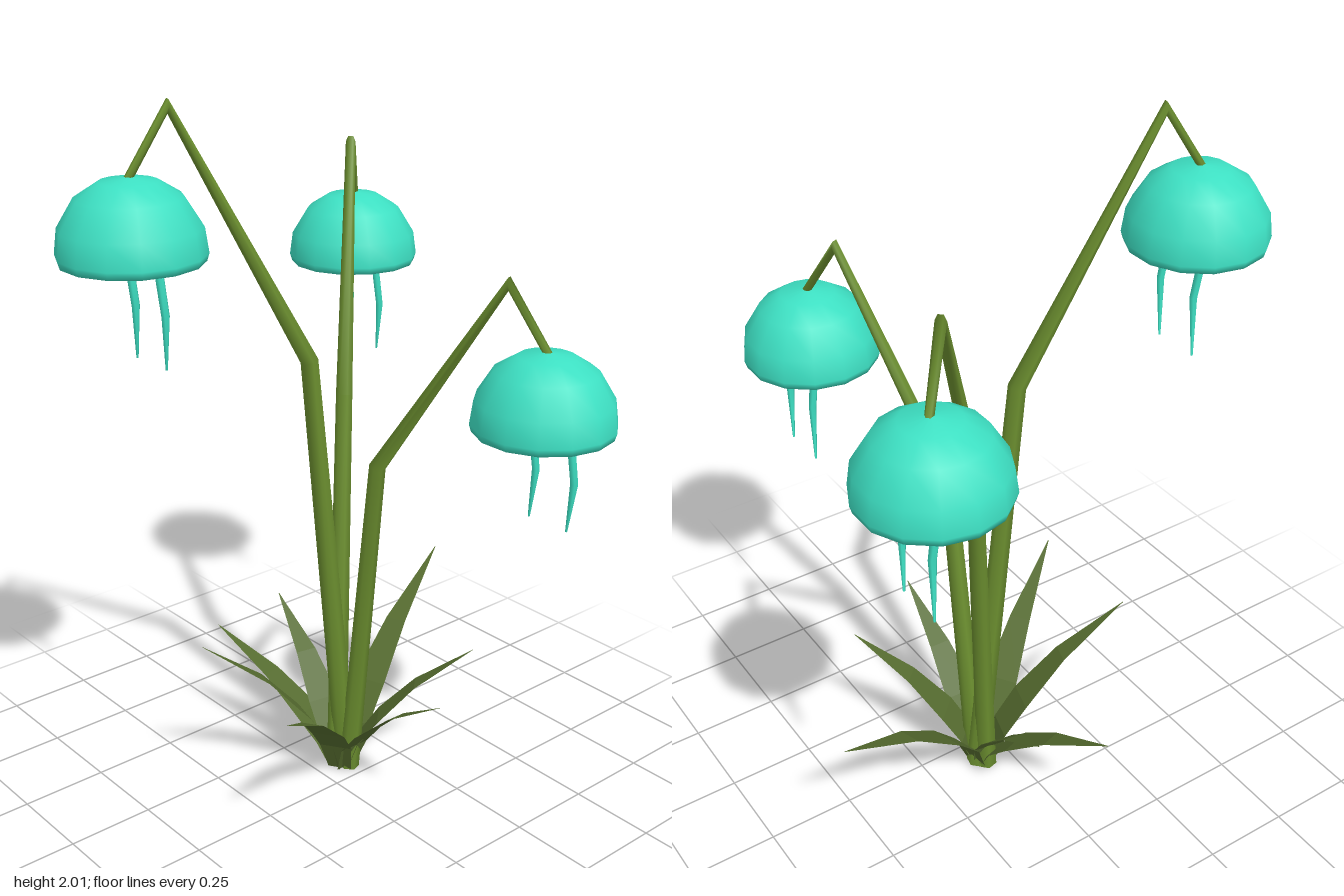
import * as THREE from 'three';

const material = (name, color, side = THREE.FrontSide) => {
  const m = new THREE.MeshStandardMaterial({ color, side });
  m.name = name;
  return m;
};

const V = (p) => new THREE.Vector3(...p);

// Tapered tube with mitred bends through a few points, each [x, y, z, radius]
function bentTube(points, sides) {
  const pts = points.map(V);
  const n = pts.length;
  const dirs = pts.slice(1).map((p, i) => p.clone().sub(pts[i]).normalize());
  const u = dirs[0].clone().cross(dirs[n - 2]).normalize();
  const pos = [];
  const index = [];
  pts.forEach((p, i) => {
    const d = dirs[Math.min(i, n - 2)];
    const t = d.clone().add(dirs[Math.max(i - 1, 0)]).normalize();
    const v = t.clone().cross(u).normalize();
    const r = points[i][3];
    const stretch = Math.min(1 / t.dot(d), 1.3);
    for (let j = 0; j < sides; j++) {
      const a = (j / sides) * Math.PI * 2;
      const q = p.clone().addScaledVector(u, r * Math.cos(a)).addScaledVector(v, r * stretch * Math.sin(a));
      pos.push(q.x, q.y, q.z);
    }
  });
  for (let i = 0; i < n - 1; i++) {
    for (let j = 0; j < sides; j++) {
      const k = (j + 1) % sides;
      const a = i * sides + j, b = i * sides + k;
      index.push(a, b, b + sides, a, b + sides, a + sides);
    }
  }
  // end caps
  const last = (n - 1) * sides;
  for (let j = 1; j < sides - 1; j++) {
    index.push(0, j + 1, j, last, last + j, last + j + 1);
  }
  const g = new THREE.BufferGeometry();
  g.setAttribute('position', new THREE.Float32BufferAttribute(pos, 3));
  g.setIndex(index);
  g.computeVertexNormals();
  return g;
}

// Thin arched blade from the clump centre to a tip
const BLADE = [ // fraction outward, fraction of height, half width
  [0.05, 0, 0.035], [0.13, 0.22, 0.048], [0.28, 0.42, 0.05], [0.56, 0.7, 0.032], [1, 1, 0.001],
];
function leafBlade(centre, tip) {
  const out = new THREE.Vector3(tip[0] - centre[0], 0, tip[2] - centre[1]);
  const across = new THREE.Vector3(out.z, 0, -out.x).normalize();
  const pos = [];
  const index = [];
  BLADE.forEach(([f, h, w], i) => {
    for (const s of [-1, 1]) {
      pos.push(centre[0] + out.x * f + across.x * w * s, tip[1] * h, centre[1] + out.z * f + across.z * w * s);
    }
    if (i) {
      const a = i * 2 - 2;
      index.push(a, a + 1, a + 3, a, a + 3, a + 2);
    }
  });
  const g = new THREE.BufferGeometry();
  g.setAttribute('position', new THREE.Float32BufferAttribute(pos, 3));
  g.setIndex(index);
  const flat = g.toNonIndexed();
  flat.computeVertexNormals();
  return flat;
}

export function createModel() {
  const model = new THREE.Group();
  model.name = 'bellFlowerPlant';
  const stemGreen = material('stem green', 0x6b8e2f);
  const leafGreen = material('leaf green', 0x556b2f, THREE.DoubleSide);
  const turquoise = material('bell turquoise', 0x3de0c3);

  const add = (parent, name, geometry, mat) => {
    const mesh = new THREE.Mesh(geometry, mat);
    mesh.name = name;
    parent.add(mesh);
    return mesh;
  };

  // Each stem: base, knee, apex and the drooping end at its bell
  const stems = [
    { path: [[-0.095, 0, -0.08, 0.03], [-0.145, 1.14, -0.15, 0.023], [-0.42, 1.775, -0.41, 0.014], [-0.505, 1.59, -0.5, 0.011]], bell: [-0.5, 1.4, -0.49] },
    { path: [[-0.075, 0, -0.1, 0.032], [-0.09, 1.29, 0.02, 0.024], [-0.175, 1.99, 0.385, 0.014], [-0.2, 1.81, 0.5, 0.011]], bell: [-0.2, 1.62, 0.49] },
    { path: [[-0.05, 0, -0.09, 0.03], [0.03, 0.985, -0.12, 0.023], [0.39, 1.56, -0.228, 0.014], [0.505, 1.38, -0.27, 0.011]], bell: [0.495, 1.19, -0.265] },
  ];

  // Shared bell dome, with a closed underside
  const profile = [[0, 0], [0.184, 0], [0.19, 0.02], [0.181, 0.085], [0.135, 0.16], [0.075, 0.198], [0, 0.21]];
  const dome = new THREE.LatheGeometry(profile.map(([x, y]) => new THREE.Vector2(x, y)), 14);
  dome.rotateY(Math.PI / 2);

  // Shared hanging stamen
  const stamen = bentTube([[0, 0.03, -0.03, 0.012], [0.022, -0.13, -0.036, 0.011], [-0.01, -0.28, -0.054, 0.003]], 6);

  for (const { path, bell } of stems) {
    add(model, 'stem', bentTube(path, 6), stemGreen);
    const flower = new THREE.Group();
    flower.name = 'bellFlower';
    flower.position.set(...bell);
    add(flower, 'bellDome', dome, turquoise);
    for (const x of [-0.072, 0.06]) {
      add(flower, 'stamen', stamen, turquoise).position.x = x;
    }
    model.add(flower);
  }

  // Leaves radiating from the base
  const tips = [
    [-0.255, 0.485, -0.63], [0.207, 0.41, -0.34], [0.355, 0.39, -0.07], [0.222, 0.445, 0.365],
    [-0.19, 0.495, 0.335], [-0.507, 0.335, 0.047], [-0.455, 0.4, -0.15],
  ];
  for (const tip of tips) {
    add(model, 'leaf', leafBlade([-0.07, -0.08], tip), leafGreen);
  }
  return model;
}
